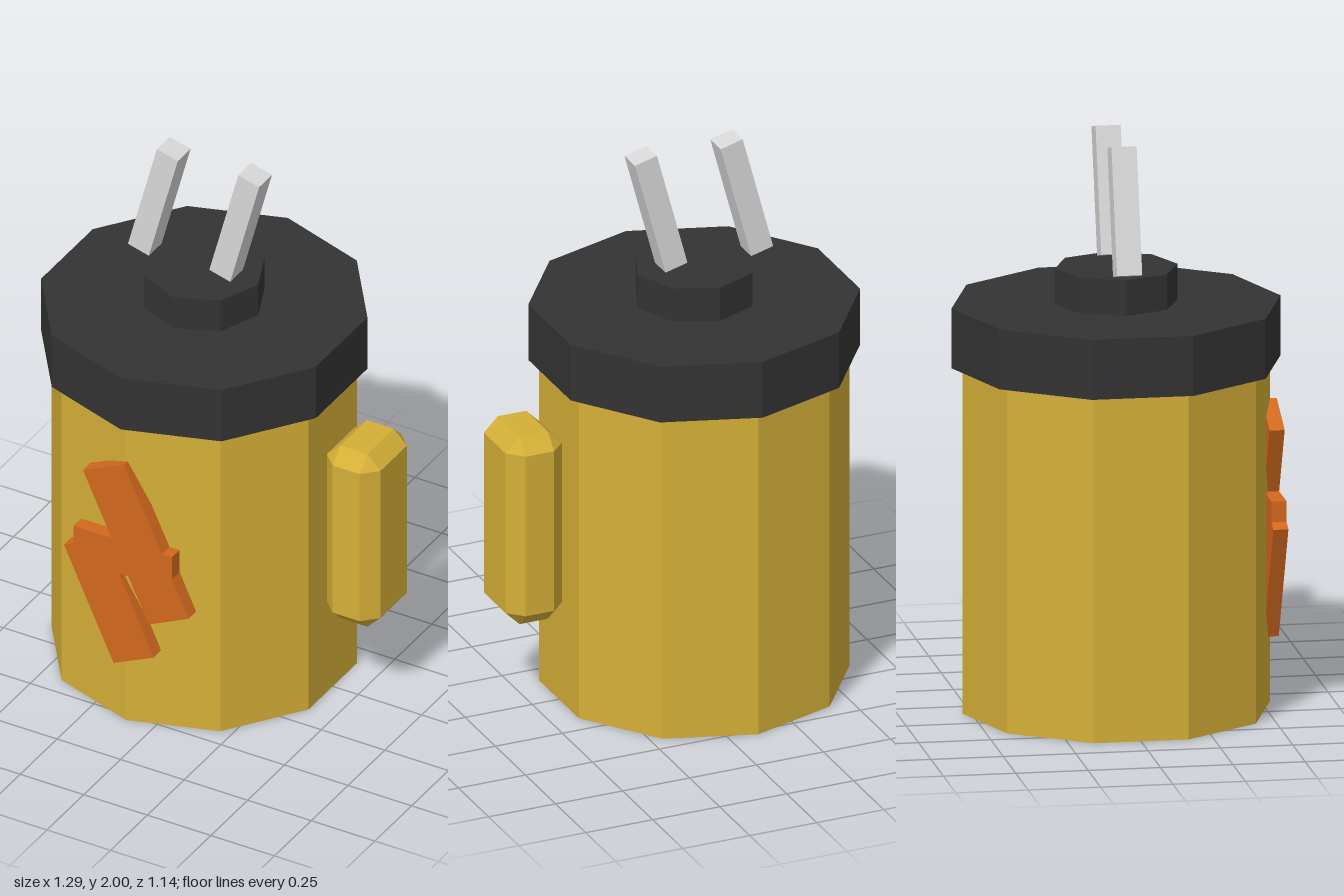
import * as THREE from 'three';
import { ConvexGeometry } from 'three/addons/geometries/ConvexGeometry.js';

const AXIS_X = -0.105; // centre line of the canister

function material(name, color) {
  const m = new THREE.MeshStandardMaterial({ color, flatShading: true });
  m.name = name;
  return m;
}

// Box with all edges and corners cut off at 45 degrees
function chamferedBox(w, h, d, c) {
  const points = [];
  const [x, y, z] = [w / 2, h / 2, d / 2];
  for (const i of [-1, 1]) for (const j of [-1, 1]) for (const k of [-1, 1]) {
    points.push(
      new THREE.Vector3(i * x, j * (y - c), k * (z - c)),
      new THREE.Vector3(i * (x - c), j * y, k * (z - c)),
      new THREE.Vector3(i * (x - c), j * (y - c), k * z)
    );
  }
  return new ConvexGeometry(points);
}

export function createModel() {
  const model = new THREE.Group();
  model.name = 'canister';
  const gold = material('gold', 0xd4af37);
  const black = material('black', 0x333333);
  const orange = material('orange', 0xd2691e);
  const silver = material('silver', 0xd8d8d8);

  const add = (name, geometry, mat, x, y, z) => {
    const mesh = new THREE.Mesh(geometry, mat);
    mesh.name = name;
    mesh.position.set(x, y, z);
    model.add(mesh);
    return mesh;
  };
  const drum = (name, radius, sides, y0, y1, mat) =>
    add(name, new THREE.CylinderGeometry(radius, radius, y1 - y0, sides), mat, AXIS_X, (y0 + y1) / 2, 0);

  // Ten-sided body and lid, eight-sided cap
  drum('body', 0.531, 10, 0, 1.21, gold);
  drum('lid', 0.568, 10, 1.21, 1.42, black);
  drum('cap', 0.212, 8, 1.42, 1.545, black);

  // Handle on the left side
  add('handle', chamferedBox(0.21, 0.706, 0.284, 0.052), gold, 0.535, 0.712, 0);

  // Leaning prongs above the cap
  for (const [name, x] of [['rightProng', -0.282], ['leftProng', 0.038]]) {
    add(name, new THREE.BoxGeometry(0.085, 0.44, 0.087), silver, x, 1.777, 0).rotation.z = -0.262;
  }

  // Jagged bolt plate on the front
  const outline = [
    [-0.26, 0.985], [-0.1, 1.06], [0.05, 0.745], [0.09, 0.745], [0.09, 0.655],
    [0.155, 0.515], [0, 0.44], [-0.083, 0.61], [-0.115, 0.61], [-0.11, 0.59],
    [0.017, 0.31], [-0.14, 0.236], [-0.335, 0.655], [-0.297, 0.673],
    [-0.297, 0.745], [-0.148, 0.745]
  ].map(([x, y]) => new THREE.Vector2(x, y));
  const bolt = new THREE.ExtrudeGeometry(new THREE.Shape(outline), { depth: 0.052, bevelEnabled: false });
  add('boltPlate', bolt, orange, 0, 0, 0.504);

  return model;
}
